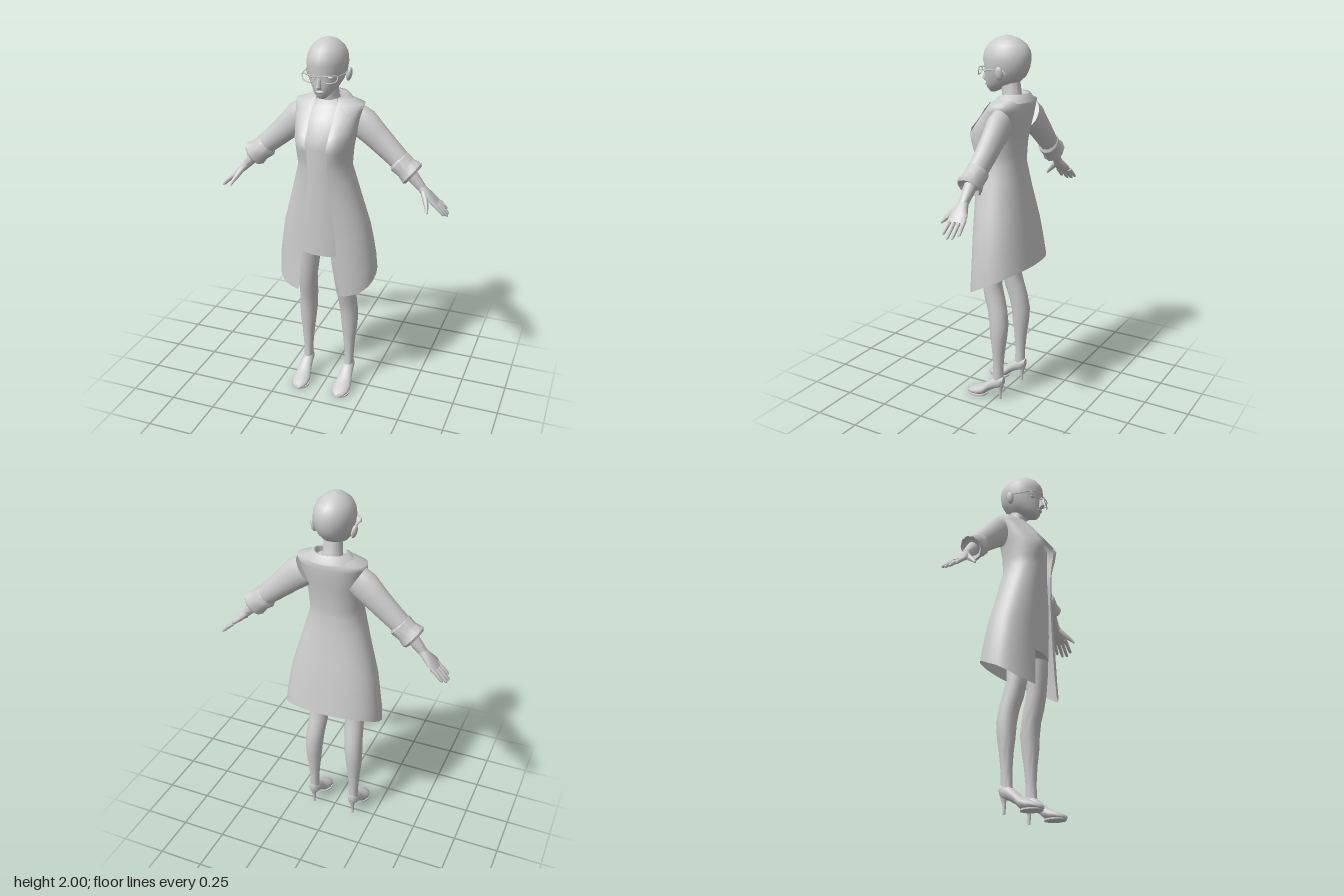
import * as THREE from 'three';
import { toCreasedNormals } from 'three/addons/utils/BufferGeometryUtils.js';

const V = (x, y, z) => new THREE.Vector3(x, y, z);
const X = V(1, 0, 0), Y = V(0, 1, 0), Z = V(0, 0, 1);

// Capped loft through rings [x, y, z, radiusV, radiusW]; W follows ref, s mirrors x.
function limb(rings, { s = 1, ref = Z, axis = null, seg = 18, crease = 0.95 } = {}) {
  const pts = rings.map(r => V(r[0] * s, r[1], r[2]));
  const pos = [], idx = [], n = rings.length;
  rings.forEach((r, i) => {
    const t = axis ? axis.clone()
      : pts[Math.min(i + 1, n - 1)].clone().sub(pts[Math.max(i - 1, 0)]).normalize();
    const w = ref.clone().addScaledVector(t, -ref.dot(t)).normalize();
    const v = w.clone().cross(t);
    for (let j = 0; j < seg; j++) {
      const a = j / seg * Math.PI * 2;
      const p = pts[i].clone().addScaledVector(v, Math.cos(a) * r[3]).addScaledVector(w, Math.sin(a) * r[4]);
      pos.push(p.x, p.y, p.z);
    }
  });
  pos.push(...pts[0].toArray(), ...pts[n - 1].toArray());
  const c0 = n * seg, c1 = c0 + 1, last = (n - 1) * seg;
  for (let j = 0; j < seg; j++) {
    const k = (j + 1) % seg;
    for (let i = 0; i < n - 1; i++) {
      const a = i * seg + j, b = i * seg + k;
      idx.push(a, b, b + seg, a, b + seg, a + seg);
    }
    idx.push(c0, k, j, c1, last + j, last + k);
  }
  return toCreasedNormals(surface(pos, idx), crease);
}

function surface(pos, idx) {
  const g = new THREE.BufferGeometry();
  g.setAttribute('position', new THREE.Float32BufferAttribute(pos, 3));
  g.setIndex(idx);
  g.computeVertexNormals();
  return g;
}

// Open sheet from a function of row and column returning [x, y, z].
function sheet(rows, cols, f) {
  const pos = [], idx = [];
  for (let i = 0; i <= rows; i++) for (let j = 0; j <= cols; j++) {
    pos.push(...f(i, j / cols));
    if (i < rows && j < cols) {
      const a = i * (cols + 1) + j, b = a + cols + 1;
      idx.push(a, b, a + 1, b, b + 1, a + 1);
    }
  }
  return surface(pos, idx);
}

// Coat profile: y, half width, front z, back z, half opening
const COAT = [
  [1.70, 0.09, 0.025, -0.11, 0.06], [1.67, 0.184, 0.045, -0.127, 0.063],
  [1.60, 0.172, 0.105, -0.122, 0.064], [1.50, 0.157, 0.168, -0.105, 0.057],
  [1.45, 0.149, 0.17, -0.098, 0.053], [1.35, 0.141, 0.158, -0.092, 0.055],
  [1.20, 0.183, 0.146, -0.113, 0.064], [1.00, 0.24, 0.142, -0.15, 0.086],
  [0.80, 0.272, 0.144, -0.18, 0.104], [0.64, 0.276, 0.155, -0.19, 0.117],
];
function coatAt(y) {
  let i = 0;
  while (i < COAT.length - 2 && COAT[i + 1][0] > y) i++;
  const a = COAT[i], b = COAT[i + 1], t = (y - a[0]) / (b[0] - a[0]);
  return a.map((v, k) => v + (b[k] - v) * t);
}
const POW = 2.3;
const bust = (x, y) => 0.02 * Math.exp(-(((Math.abs(x) - 0.095) / 0.04) ** 2) - ((y - 1.5) / 0.07) ** 2);
function coatFrontZ(x, y) {
  const [, hw, zf, zb] = coatAt(y), c = (zf + zb) / 2;
  return c + (zf - c) * Math.pow(Math.max(0, 1 - Math.pow(Math.abs(x) / hw, POW)), 1 / POW) + bust(x, y);
}
const spow = (v, e) => Math.sign(v) * Math.pow(Math.abs(v), e);

function coatPoint(i, u) {
  // Upper rows are level, lower rows blend into the slanted hem
  const level = [1.70, 1.67, 1.635, 1.60, 1.55, 1.50, 1.45, 1.40, 1.35, 1.275, 1.20, 1.10];
  const hem = 0.80 - 0.16 * Math.pow((1 + Math.cos(u * Math.PI * 2)) / 2, 1.5);
  const y = i < level.length ? level[i] : 1.10 + (hem - 1.10) * (i - level.length + 1) / 4;
  const [, hw, zf, zb, open] = coatAt(y), c = (zf + zb) / 2;
  const t0 = Math.asin(Math.pow(open / hw, POW / 2));
  const th = t0 + u * (2 * Math.PI - 2 * t0), co = Math.cos(th);
  const x = hw * spow(Math.sin(th), 2 / POW);
  return [x, y, c + (zf - c) * spow(co, 2 / POW) + (co > 0 ? bust(x, y) : 0)];
}

export function createModel() {
  const model = new THREE.Group();
  const grey = new THREE.MeshStandardMaterial({ color: 0xcccccc, side: THREE.DoubleSide });
  grey.name = 'plain grey';
  const add = (name, geo, x = 0, y = 0, z = 0) => {
    const m = new THREE.Mesh(geo, grey);
    m.name = name;
    m.position.set(x, y, z);
    model.add(m);
    return m;
  };
  const tube = (pts, r, closed = false) =>
    new THREE.TubeGeometry(new THREE.CatmullRomCurve3(pts.map(p => V(...p)), closed), 28, r, 6, closed);

  // Head, neck and face
  add('head', limb([
    [0, 1.712, 0.08, 0.018, 0.016], [0, 1.735, 0.062, 0.043, 0.05], [0, 1.76, 0.028, 0.064, 0.09],
    [0, 1.80, 0.008, 0.086, 0.113], [0, 1.84, -0.003, 0.098, 0.122], [0, 1.88, -0.002, 0.104, 0.13],
    [0, 1.92, -0.004, 0.099, 0.126], [0, 1.955, -0.005, 0.083, 0.105], [0, 1.985, -0.004, 0.05, 0.064],
    [0, 2.0, -0.003, 0.012, 0.015]], { axis: Y, seg: 24, crease: 1.3 }));
  add('neck', limb([[0, 1.62, -0.05, 0.075, 0.06], [0, 1.67, -0.045, 0.06, 0.055],
    [0, 1.71, -0.03, 0.048, 0.052], [0, 1.79, -0.02, 0.048, 0.05]], { axis: Y }));
  add('nose', limb([[0, 1.765, 0.12, 0.011, 0.01], [0, 1.777, 0.127, 0.015, 0.021],
    [0, 1.80, 0.122, 0.009, 0.016], [0, 1.835, 0.113, 0.007, 0.01]], { axis: Y, seg: 8 }));
  add('lips', new THREE.SphereGeometry(1, 12, 8), 0, 1.75, 0.113).scale.set(0.022, 0.008, 0.012);

  // Glasses bridge
  add('glassesBridge', tube([[-0.016, 1.83, 0.138], [0, 1.835, 0.142], [0.016, 1.83, 0.138]], 0.003));

  // Dress under the open coat
  add('dress', limb([
    [0, 0.855, 0.012, 0.172, 0.115], [0, 1.0, 0.012, 0.178, 0.118], [0, 1.2, 0.022, 0.158, 0.113],
    [0, 1.35, 0.03, 0.125, 0.108], [0, 1.45, 0.028, 0.132, 0.112], [0, 1.5, 0.022, 0.138, 0.118],
    [0, 1.6, -0.015, 0.145, 0.095], [0, 1.655, -0.04, 0.13, 0.07], [0, 1.69, -0.045, 0.065, 0.055]],
  { axis: Y, seg: 28, crease: 1.2 }));

  // Coat shell and folded collar
  add('coat', sheet(15, 56, coatPoint));
  const collarRows = [[1.665, 0.074, 0.07], [1.712, 0.08, 0.07], [1.716, 0.092, 0.078], [1.675, 0.135, 0.098]];
  add('collar', sheet(3, 28, (i, u) => {
    const [y, rx, rz] = collarRows[i], a = 0.75 + u * (2 * Math.PI - 1.5);
    return [rx * Math.sin(a), y - 0.02 * Math.max(0, Math.cos(a)), -0.045 + rz * Math.cos(a)];
  }));

  for (const s of [1, -1]) {
    const side = s > 0 ? 'left' : 'right';
    const part = (name, rings, opt = {}) => add(side + name, limb(rings, { s, ...opt }));
    const flip = pts => pts.map(([x, y, z]) => [x * s, y, z]);

    // Ears, eyes and glasses
    const ear = add(side + 'Ear', new THREE.SphereGeometry(1, 12, 10), s * 0.108, 1.82, -0.018);
    ear.scale.set(0.014, 0.036, 0.022);
    ear.rotation.z = -s * 0.2;
    add(side + 'Eye', new THREE.SphereGeometry(1, 12, 8), s * 0.044, 1.822, 0.094).scale.set(0.021, 0.009, 0.014);
    add(side + 'GlassesRim', tube(flip([[0.016, 1.833, 0.138], [0.05, 1.837, 0.135], [0.092, 1.835, 0.112],
      [0.088, 1.812, 0.116], [0.055, 1.802, 0.133], [0.024, 1.81, 0.139]]), 0.003, true));
    add(side + 'GlassesTemple', tube(flip([[0.094, 1.835, 0.11], [0.104, 1.835, 0.05],
      [0.108, 1.84, -0.03], [0.107, 1.82, -0.052]]), 0.003));

    // Lapel lying just over the coat front
    const lapel = [[1.668, 0.07, 0.09], [1.64, 0.064, 0.118], [1.615, 0.064, 0.144], [1.57, 0.063, 0.12],
      [1.53, 0.06, 0.097], [1.49, 0.057, 0.073], [1.455, 0.053, 0.056]];
    add(side + 'Lapel', sheet(lapel.length - 1, 6, (i, u) => {
      const [y, a, b] = lapel[i], x = a + (b - a) * u;
      return [s * x, y, coatFrontZ(x, y) + 0.009];
    }));

    // Sleeve, turned-back cuff and forearm
    part('Sleeve', [[0.14, 1.585, -0.055, 0.08, 0.055], [0.18, 1.56, -0.055, 0.082, 0.06],
      [0.235, 1.51, -0.056, 0.072, 0.056], [0.30, 1.452, -0.056, 0.064, 0.053],
      [0.39, 1.372, -0.052, 0.054, 0.05]]);
    part('Cuff', [[0.362, 1.388, -0.052, 0.052, 0.05], [0.372, 1.38, -0.052, 0.066, 0.059],
      [0.41, 1.35, -0.051, 0.062, 0.056], [0.442, 1.325, -0.05, 0.073, 0.066],
      [0.452, 1.317, -0.05, 0.064, 0.058], [0.44, 1.327, -0.05, 0.046, 0.044]],
    { axis: V(s * 0.78, -0.62, 0), seg: 10, crease: 0.7 });
    part('Forearm', [[0.40, 1.36, -0.05, 0.038, 0.036], [0.45, 1.305, -0.05, 0.032, 0.031],
      [0.50, 1.25, -0.05, 0.023, 0.024]]);

    // Hand with four fingers and a thumb
    part('Palm', [[0.485, 1.265, -0.05, 0.022, 0.022], [0.515, 1.235, -0.05, 0.022, 0.034],
      [0.545, 1.207, -0.053, 0.018, 0.048], [0.578, 1.176, -0.055, 0.011, 0.046]], { seg: 14 });
    [[-0.094, -0.102, 0.625, 1.133], [-0.069, -0.074, 0.64, 1.118],
      [-0.043, -0.046, 0.643, 1.115], [-0.018, -0.016, 0.63, 1.128]].forEach(([z0, z1, x, y], i) => {
      part('Finger' + (i + 1), [[0.56, 1.192, z0, 0.011, 0.012], [(0.57 + x) / 2, (1.185 + y) / 2, (z0 + z1) / 2, 0.01, 0.011],
        [x - 0.006, y + 0.006, z1, 0.008, 0.009], [x, y, z1, 0.003, 0.004]], { seg: 8 });
    });
    part('Thumb', [[0.508, 1.24, -0.035, 0.016, 0.014], [0.53, 1.205, -0.004, 0.015, 0.015],
      [0.545, 1.178, 0.025, 0.011, 0.01], [0.554, 1.155, 0.045, 0.005, 0.005]], { ref: X, seg: 8 });

    // Leg
    part('Leg', [[0.125, 0.085, -0.012, 0.027, 0.034], [0.125, 0.14, -0.017, 0.026, 0.03],
      [0.125, 0.2, -0.018, 0.027, 0.029], [0.125, 0.3, -0.02, 0.036, 0.036],
      [0.125, 0.38, -0.021, 0.045, 0.047], [0.122, 0.46, -0.022, 0.05, 0.053],
      [0.116, 0.54, -0.009, 0.051, 0.053], [0.11, 0.61, 0.012, 0.053, 0.055],
      [0.107, 0.68, 0.028, 0.054, 0.053], [0.099, 0.78, 0.034, 0.06, 0.06],
      [0.09, 0.95, 0.025, 0.07, 0.08]]);

    // High-heeled shoe
    part('Shoe', [[0.125, 0.118, -0.052, 0.024, 0.016], [0.125, 0.11, -0.035, 0.036, 0.029],
      [0.125, 0.098, 0.0, 0.037, 0.033], [0.125, 0.075, 0.035, 0.034, 0.037],
      [0.125, 0.043, 0.07, 0.034, 0.045], [0.124, 0.029, 0.105, 0.029, 0.051],
      [0.123, 0.021, 0.14, 0.021, 0.047], [0.122, 0.015, 0.168, 0.014, 0.032],
      [0.121, 0.011, 0.182, 0.008, 0.014]], { ref: X, axis: Z });
    add(side + 'ToeSole', new THREE.CylinderGeometry(1, 1, 0.008, 18), s * 0.123, 0.004, 0.12).scale.set(0.049, 1, 0.058);
    part('Heel', [[0.125, 0, -0.03, 0.007, 0.007], [0.125, 0.04, -0.029, 0.008, 0.009],
      [0.125, 0.075, -0.032, 0.014, 0.014], [0.125, 0.1, -0.036, 0.022, 0.018]], { seg: 10 });
  }
  return model;
}
